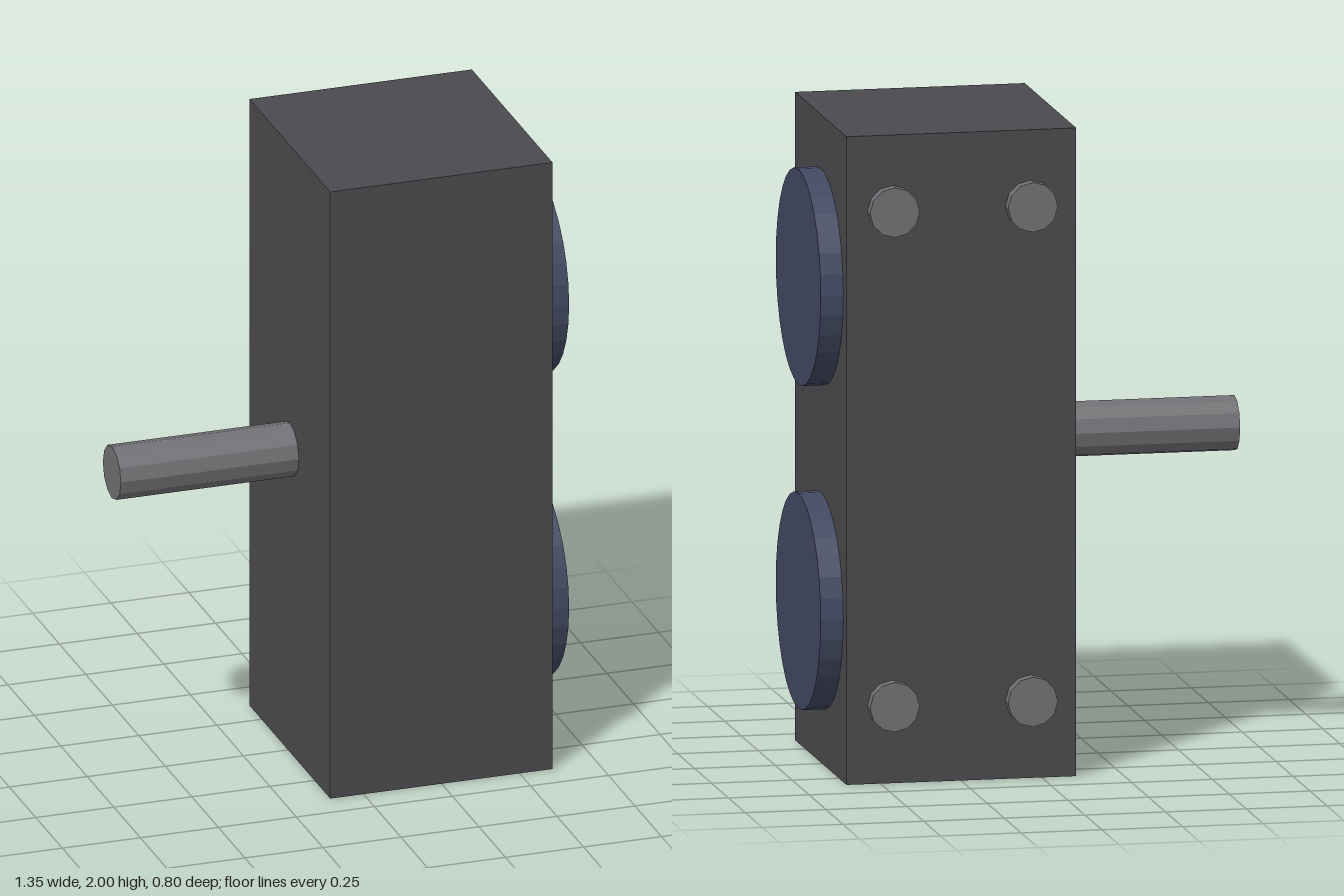
import * as THREE from 'three';

const CX = 0.249, CZ = 0.017; // centre of the cabinet

export function createModel() {
  const group = new THREE.Group();
  const mat = (color) => new THREE.MeshStandardMaterial({ color, flatShading: true });
  const bodyMat = mat(0x4a494d), metalMat = mat(0x707074), padMat = mat(0x414861);

  const add = (name, geometry, material, x, y, z) => {
    const mesh = new THREE.Mesh(geometry, material);
    mesh.name = name;
    mesh.position.set(x, y, z);
    group.add(mesh);
    return mesh;
  };

  // Tall rectangular body
  add('body', new THREE.BoxGeometry(0.712, 2, 0.76), bodyMat, CX, 1, CZ + 0.001);

  // Round discs on the left side, partly sunk into the body
  const discGeo = new THREE.CylinderGeometry(0.332, 0.332, 0.14, 32).rotateZ(Math.PI / 2);
  for (const y of [0.502, 1.502]) add('sideDisc', discGeo, padMat, 0.605, y, CZ);

  // Rod sticking out of the right side
  const rodGeo = new THREE.CylinderGeometry(0.085, 0.085, 0.6, 12).rotateZ(Math.PI / 2);
  add('sideRod', rodGeo, metalMat, -0.377, 1, CZ);

  // Four bolts on the back
  const boltGeo = new THREE.CylinderGeometry(0.077, 0.077, 0.076, 12).rotateX(Math.PI / 2);
  for (const sx of [-1, 1]) {
    for (const sy of [-1, 1]) {
      add('backBolt', boltGeo, metalMat, CX + sx * 0.214, 1.004 + sy * 0.763, -0.362);
    }
  }
  return group;
}
